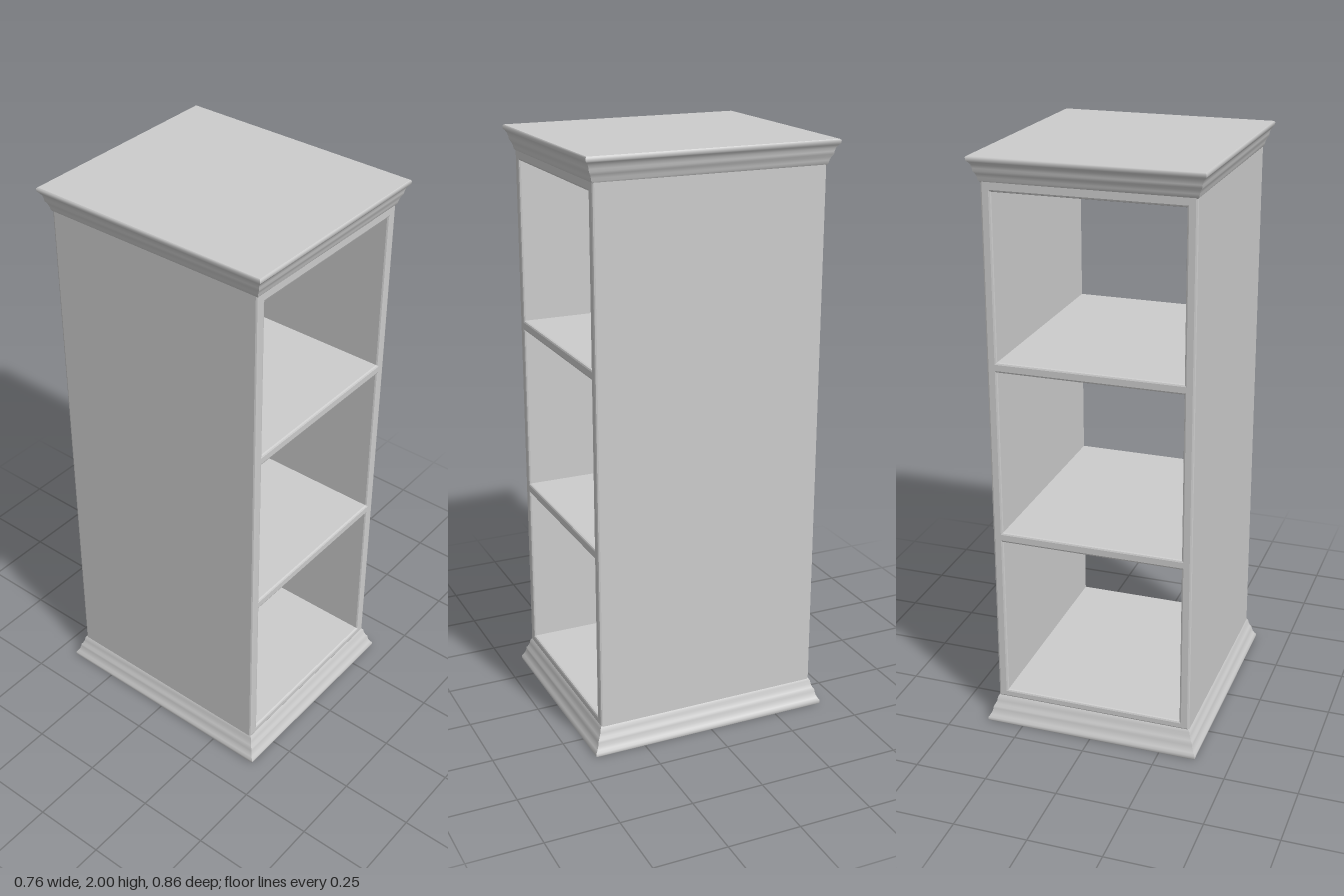
import * as THREE from 'three';

const HX = 0.347, HZ = 0.398; // half width and half depth of the carcass
const material = new THREE.MeshStandardMaterial({ color: 0xcccccc });
const sheetMaterial = new THREE.MeshStandardMaterial({ color: 0xcccccc, side: THREE.DoubleSide });

function rect(Type, x, y0, y1) {
  const r = new Type();
  r.moveTo(-x, y0);
  r.lineTo(x, y0);
  r.lineTo(x, y1);
  r.lineTo(-x, y1);
  r.closePath();
  return r;
}

// Sweeps a profile of [outward offset, height] points, listed upward, round the
// carcass with mitred corners: smooth along the profile, sharp at the corners.
function mouldingGeometry(profile) {
  const corners = [[1, 1], [1, -1], [-1, -1], [-1, 1]];
  const positions = [], index = [];
  corners.forEach((a, side) => {
    const b = corners[(side + 1) % 4];
    profile.forEach(([o, y], i) => {
      const n = positions.length / 3;
      for (const [sx, sz] of [a, b]) positions.push(sx * (HX + o), y, sz * (HZ + o));
      if (i < profile.length - 1) index.push(n, n + 1, n + 3, n, n + 3, n + 2);
    });
  });
  const g = new THREE.BufferGeometry();
  g.setAttribute('position', new THREE.Float32BufferAttribute(positions, 3));
  g.setIndex(index);
  g.computeVertexNormals();
  return g;
}

export function createModel() {
  const group = new THREE.Group();
  const add = (name, geometry, mat = material) => {
    const mesh = new THREE.Mesh(geometry, mat);
    mesh.name = name;
    group.add(mesh);
    return mesh;
  };

  // Carcass: sides and shelves in one piece, open front to back, eased edges
  const outline = rect(THREE.Shape, HX, 0.09, 1.95);
  for (const [y0, y1] of [[0.12, 0.695], [0.73, 1.3], [1.335, 1.887]]) {
    outline.holes.push(rect(THREE.Path, 0.312, y0, y1));
  }
  const bevel = 0.007;
  const depth = 2 * (HZ - bevel);
  const carcass = new THREE.ExtrudeGeometry(outline, {
    depth, bevelThickness: bevel, bevelSize: bevel, bevelOffset: -bevel, bevelSegments: 2,
  });
  carcass.translate(0, 0, -depth / 2);
  add('carcass', carcass);

  // Crown moulding: cove, small step, upper curve and a flat lip
  add('crownMoulding', mouldingGeometry([
    [-0.002, 1.915], [0.003, 1.922], [0.005, 1.932], [0.009, 1.943], [0.015, 1.952],
    [0.016, 1.961], [0.019, 1.972], [0.025, 1.981], [0.03, 1.986], [0.031, 1.996], [0.027, 2],
  ]), sheetMaterial);

  // Flat top closing the crown
  const top = new THREE.PlaneGeometry(2 * (HX + 0.027), 2 * (HZ + 0.027));
  top.rotateX(-Math.PI / 2);
  add('topPanel', top, sheetMaterial).position.y = 2;

  // Plinth moulding: hollow skirt, open underneath
  add('plinthMoulding', mouldingGeometry([
    [0.029, 0], [0.031, 0.004], [0.031, 0.013], [0.025, 0.022], [0.02, 0.032], [0.017, 0.044],
    [0.016, 0.052], [0.011, 0.06], [0.006, 0.072], [0.004, 0.085], [-0.002, 0.095],
  ]), sheetMaterial);

  return group;
}
